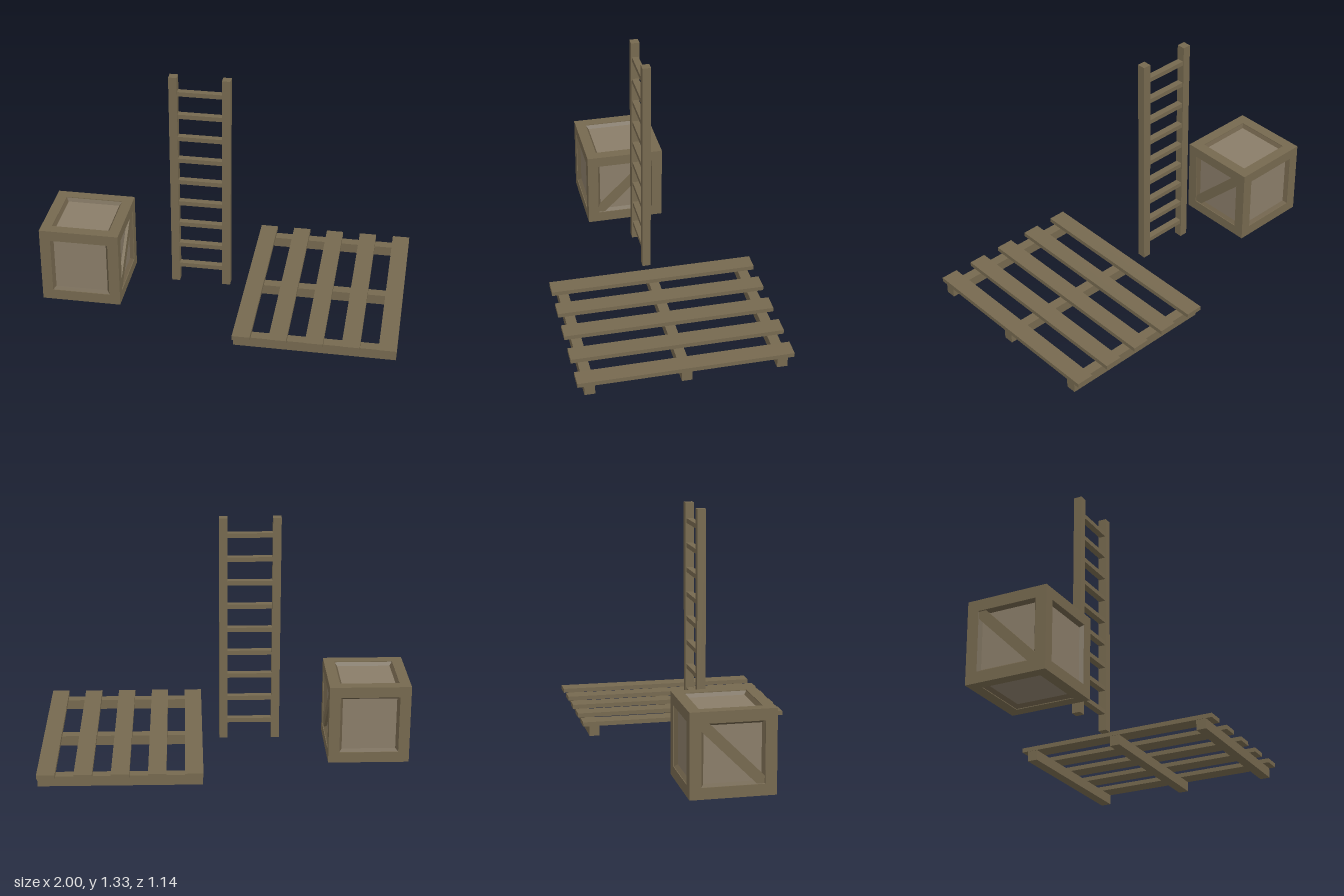
import * as THREE from 'three';

const wood = new THREE.MeshStandardMaterial({ color: 0x76694f });
const panelWood = new THREE.MeshStandardMaterial({ color: 0x8a7d69 });
const trimWood = new THREE.MeshStandardMaterial({ color: 0x6b5e47, side: THREE.DoubleSide, flatShading: true });

function box(parent, name, size, pos, material = wood) {
  const mesh = new THREE.Mesh(new THREE.BoxGeometry(...size), material);
  mesh.name = name;
  mesh.position.set(...pos);
  parent.add(mesh);
  return mesh;
}

function createCrate() {
  const crate = new THREE.Group();
  crate.name = 'crate';
  const half = 0.221, bar = 0.06, mid = half - bar / 2, span = 2 * (half - bar), recess = 0.022;

  // Frame: corner posts with rails fitted between them
  for (const a of [-1, 1]) for (const b of [-1, 1]) {
    box(crate, 'cornerPost', [bar, 2 * half, bar], [a * mid, 0, b * mid]);
    box(crate, 'sideRail', [span, bar, bar], [0, a * mid, b * mid]);
    box(crate, 'depthRail', [bar, bar, span], [a * mid, b * mid, 0]);
  }

  // Recessed panels
  const inner = 2 * (half - recess);
  box(crate, 'panels', [inner, inner, inner], [0, 0, 0], panelWood);

  // Sloped trim around each panel
  const outer = span / 2, trim = new THREE.CylinderGeometry(
    outer * Math.SQRT2, (outer - 0.014) * Math.SQRT2, recess - 0.004, 4, 1, true);
  trim.rotateY(Math.PI / 4);
  trim.translate(0, half - recess / 2 - 0.002, 0);
  const turns = [[0, 0], [Math.PI, 0], [Math.PI / 2, 0], [-Math.PI / 2, 0], [0, Math.PI / 2], [0, -Math.PI / 2]];
  for (const [rx, rz] of turns) {
    const mesh = new THREE.Mesh(trim, trimWood);
    mesh.name = 'panelTrim';
    mesh.rotation.set(rx, 0, rz);
    crate.add(mesh);
  }

  // Diagonal braces on the two sides
  for (const s of [-1, 1]) {
    const brace = box(crate, 'diagonalBrace', [0.03, 0.055, 0.5], [s * (half - 0.021), 0, 0]);
    brace.rotation.x = Math.PI / 4;
  }
  crate.position.set(-0.779, half + 0.002, 0);
  return crate;
}

function createLadder() {
  const ladder = new THREE.Group();
  ladder.name = 'ladder';
  for (const s of [-1, 1]) box(ladder, 'ladderRail', [0.045, 1.265, 0.046], [s * 0.143, 0.7025, 0]);
  for (let i = 0; i < 9; i++) box(ladder, 'rung', [0.25, 0.025, 0.036], [0, 0.172 + i * 0.1333, 0]);
  ladder.position.x = -0.134;
  return ladder;
}

function createPallet() {
  const pallet = new THREE.Group();
  pallet.name = 'pallet';
  for (let i = -2; i <= 2; i++) box(pallet, 'deckBoard', [0.096, 0.024, 1.14], [i * 0.194, 0.102, 0]);
  for (let i = -1; i <= 1; i++) box(pallet, 'crossBeam', [0.868, 0.056, 0.056], [0, 0.062, i * 0.507]);
  pallet.position.x = 0.563;
  return pallet;
}

export function createModel() {
  const model = new THREE.Group();
  model.name = 'woodenProps';
  model.add(createCrate(), createLadder(), createPallet());
  return model;
}
